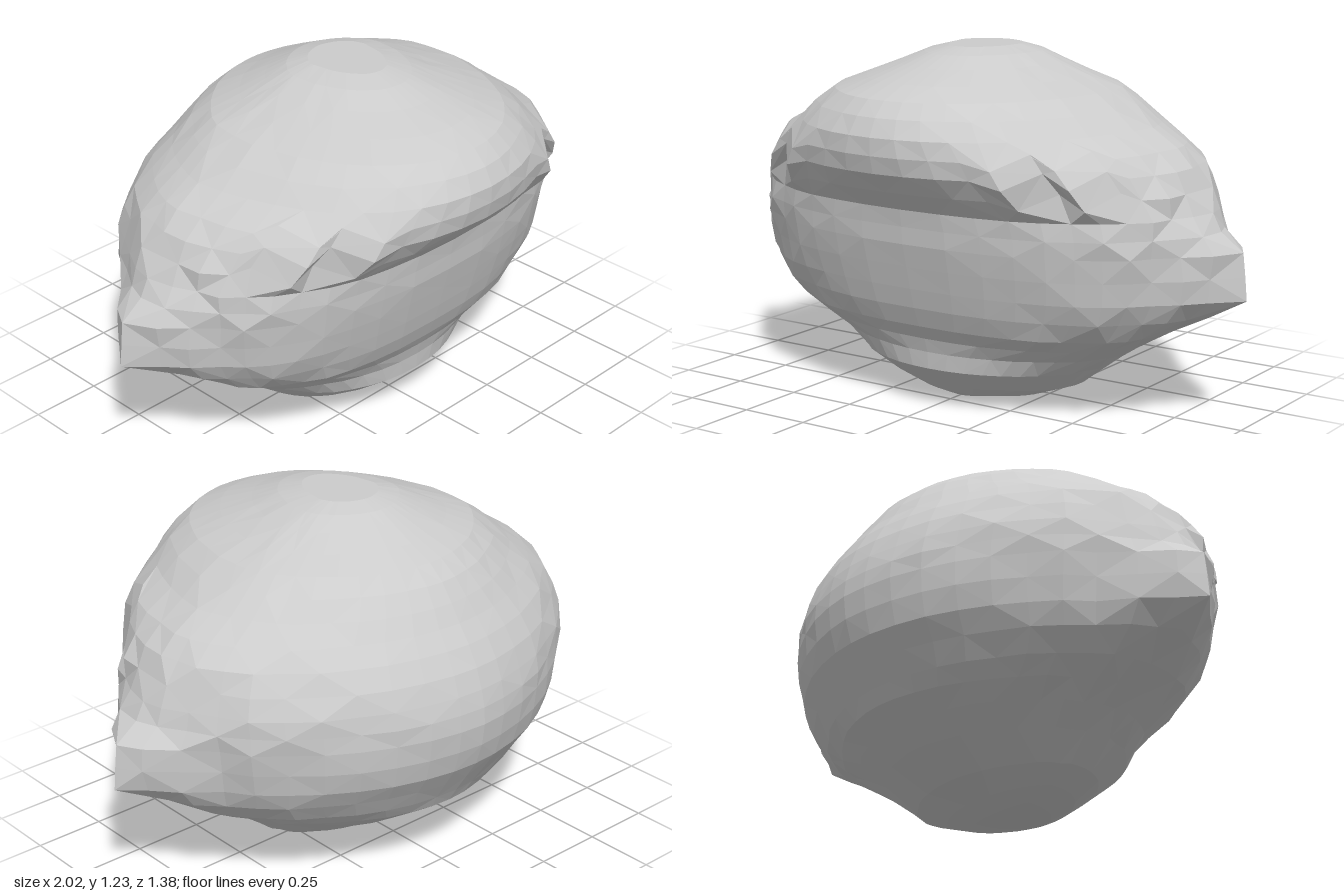
import * as THREE from 'three';

// Horizontal cross-sections: [y, half width, front z, back z, front squareness, side point]
const SECTIONS = [
  [0.00, 0.14, 0.19, -0.02, 2.0, 0],
  [0.02, 0.27, 0.23, -0.11, 2.0, 0],
  [0.06, 0.38, 0.28, -0.23, 2.0, 0],
  [0.14, 0.48, 0.38, -0.37, 2.0, 0],
  [0.20, 0.57, 0.385, -0.46, 2.0, 0],
  [0.25, 0.65, 0.40, -0.53, 2.2, 0],
  [0.30, 0.73, 0.43, -0.56, 2.4, 0.02],
  [0.37, 0.80, 0.46, -0.605, 2.4, 0.08],
  [0.44, 0.83, 0.48, -0.65, 2.4, 0.17],
  [0.52, 0.85, 0.50, -0.675, 2.4, 0.15],
  [0.60, 0.86, 0.52, -0.685, 2.4, 0.14],
  [0.66, 0.86, 0.525, -0.68, 2.4, 0.06],
  [0.72, 0.86, 0.535, -0.665, 2.3, 0.01],
  [0.79, 0.84, 0.61, -0.64, 2.1, 0],
  [0.86, 0.80, 0.675, -0.60, 2.0, 0],
  [0.92, 0.74, 0.69, -0.555, 2.0, 0],
  [0.98, 0.64, 0.69, -0.515, 2.0, 0],
  [1.04, 0.56, 0.66, -0.47, 2.0, 0],
  [1.09, 0.49, 0.61, -0.41, 2.0, 0],
  [1.13, 0.38, 0.51, -0.32, 2.0, 0],
  [1.17, 0.28, 0.38, -0.24, 2.0, 0],
  [1.205, 0.20, 0.28, -0.17, 2.0, 0],
  [1.225, 0.12, 0.19, -0.10, 2.0, 0],
];
const COLUMNS = 44;

const power = (v, p) => Math.sign(v) * Math.abs(v) ** p;

// Repeatable unevenness in -1..1, identical on both sides
function rough(row, col) {
  const v = Math.sin(row * 127.1 + col * 311.7) * 43758.5453;
  return (v - Math.floor(v)) * 2 - 1;
}

function shellGeometry() {
  const positions = [];
  const index = [];
  SECTIONS.forEach(([y, width, front, back, square, point], row) => {
    for (let col = 0; col < COLUMNS; col++) {
      const angle = (col / COLUMNS) * Math.PI * 2;
      const s = Math.sin(angle), c = Math.cos(angle);
      const n = c >= 0 ? square : 1.8;
      const side = Math.min(col, COLUMNS - col);
      // chiselled surface, calm along the centre line
      const bump = 1 + rough(row, side) * 0.016 * Math.abs(s);
      let x = width * power(s, 2 / n) * bump;
      let z = (c >= 0 ? front : -back) * power(c, 2 / n) * bump;
      // pointed flare on each side
      x += Math.sign(s) * point * Math.max(0, 1 - Math.abs(z) / 0.25);
      // ragged corners of the front overhang
      let dy = 0;
      if (y > 0.75 && y < 0.95 && z > 0.3 && Math.abs(x) > 0.4) {
        dy = (side % 2 ? 1 : -1) * 0.025;
        z += side % 2 ? -0.03 : 0.015;
      }
      positions.push(x, y + dy, z);
    }
  });

  // skin between neighbouring sections
  const last = SECTIONS.length - 1;
  for (let row = 0; row < last; row++) {
    for (let col = 0; col < COLUMNS; col++) {
      const next = (col + 1) % COLUMNS;
      const a = row * COLUMNS + col, b = row * COLUMNS + next;
      const d = a + COLUMNS, e = b + COLUMNS;
      if ((row + col) % 2) index.push(a, b, e, a, e, d);
      else index.push(a, b, d, b, e, d);
    }
  }

  // bottom and top caps
  const bottom = positions.length / 3, top = bottom + 1;
  positions.push(0, 0, 0.09, 0, 1.225, 0.04);
  for (let col = 0; col < COLUMNS; col++) {
    const next = (col + 1) % COLUMNS;
    index.push(bottom, next, col);
    index.push(top, last * COLUMNS + col, last * COLUMNS + next);
  }

  const geometry = new THREE.BufferGeometry();
  geometry.setAttribute('position', new THREE.Float32BufferAttribute(positions, 3));
  geometry.setIndex(index);
  geometry.computeVertexNormals();
  return geometry;
}

export function createModel() {
  const group = new THREE.Group();
  group.name = 'head';
  const material = new THREE.MeshStandardMaterial({ color: 0xcccccc, flatShading: true });
  const shell = new THREE.Mesh(shellGeometry(), material);
  shell.name = 'headShell';
  group.add(shell);
  return group;
}
